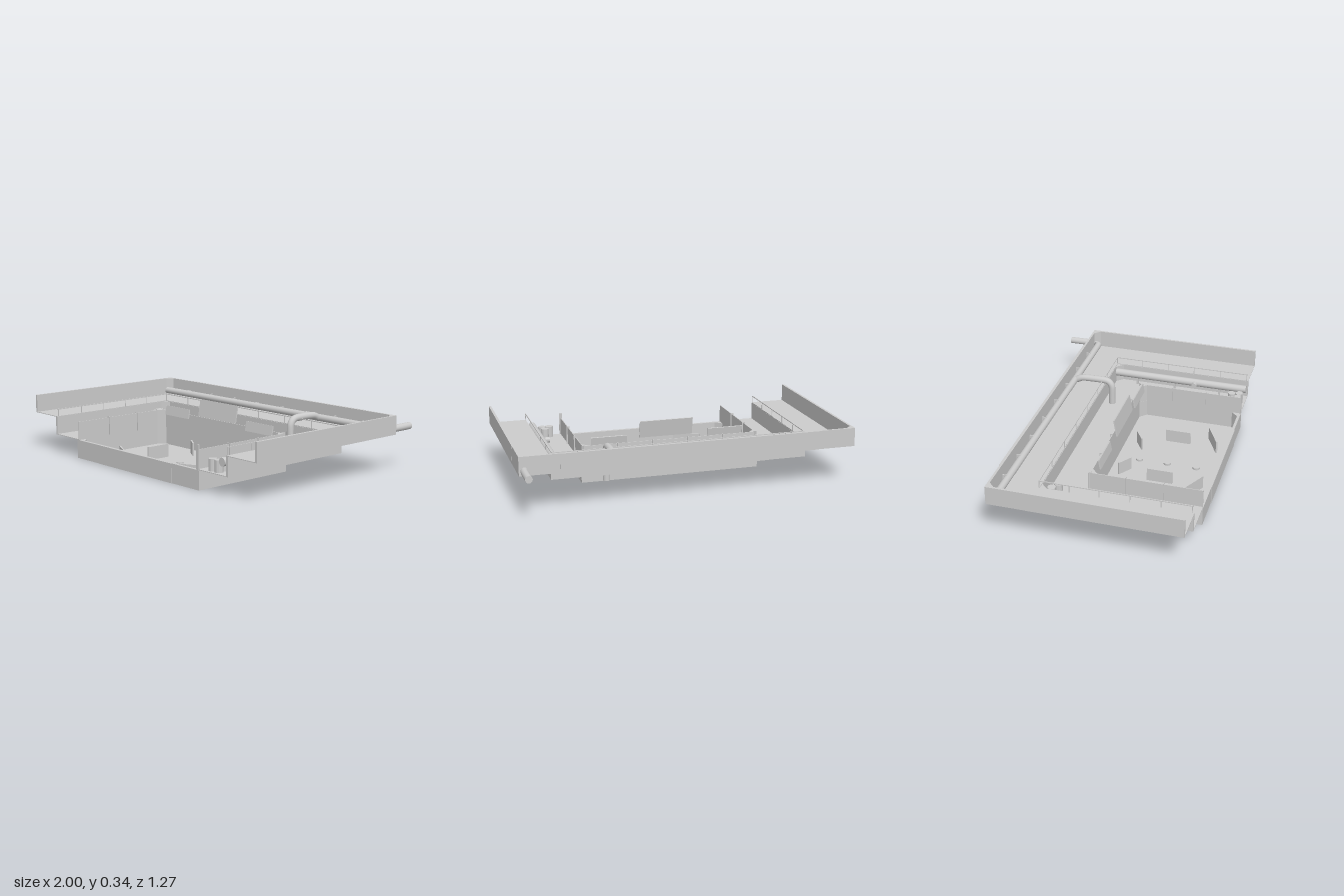
import * as THREE from 'three';

const mat = new THREE.MeshStandardMaterial({ color: 0xcccccc, side: THREE.DoubleSide });
const flat = new THREE.MeshStandardMaterial({ color: 0xcccccc, side: THREE.DoubleSide, flatShading: true });

const BACK = { top: -0.48, middle: -0.26, pit: -0.037 };
const FRONT = 0.63;
const LEVEL = [0, 0.112, 0.223, 0.334];

export function createModel() {
  const model = new THREE.Group();

  const add = (name, geometry, x = 0, y = 0, z = 0, material = flat) => {
    const mesh = new THREE.Mesh(geometry, material);
    mesh.name = name;
    mesh.position.set(x, y, z);
    model.add(mesh);
    return mesh;
  };
  const box = (name, w, h, d, x, y, z) => add(name, new THREE.BoxGeometry(w, h, d), x, y, z);

  // Plan outline drawn in x and z, raised from y0 to y1
  const raise = (name, points, y0, y1, hole) => {
    const toV = (p) => new THREE.Vector2(p[0], -p[1]);
    const shape = new THREE.Shape(points.map(toV));
    if (hole) shape.holes.push(new THREE.Path(hole.map(toV)));
    const geometry = new THREE.ExtrudeGeometry(shape, { depth: y1 - y0, bevelEnabled: false });
    geometry.rotateX(-Math.PI / 2);
    return add(name, geometry, 0, y0, 0);
  };
  const tube = (name, points, r, tension = 0.1) => {
    const curve = new THREE.CatmullRomCurve3(points.map((p) => new THREE.Vector3(...p)), false, 'catmullrom', tension);
    add(name, new THREE.TubeGeometry(curve, 80, r, 14), 0, 0, 0, mat);
    // Closed ends
    for (const t of [0, 1]) {
      const cap = add(name + 'Cap', new THREE.CircleGeometry(r, 14));
      cap.position.copy(curve.getPointAt(t));
      cap.quaternion.setFromUnitVectors(new THREE.Vector3(0, 0, 1), curve.getTangentAt(t).multiplyScalar(t ? 1 : -1));
    }
  };

  // Outline of a U open to the front, chamfered in the inner back corners
  const uShape = (w, back, t, c, front = FRONT) => [
    [-w, front], [-w, back], [w, back], [w, front],
    [w - t, front], [w - t, back + t + c], [w - t - c, back + t],
    [-w + t + c, back + t], [-w + t, back + t + c], [-w + t, front],
  ];
  const rect = (w, back, front) => [[-w, back], [w, back], [w, front], [-w, front]];

  // Two stepped terraces: a floor around the lower tier and a wall on three sides
  const terrace = (name, w, back, innerW, innerBack, level, c) => {
    const y = LEVEL[level];
    raise(name + 'Floor', [
      [-w, FRONT], [-w, back], [w, back], [w, FRONT],
      [innerW, FRONT], [innerW, innerBack], [-innerW, innerBack], [-innerW, FRONT],
    ], y, y + 0.004);
    raise(name + 'Wall', uShape(w, back, 0.013, c), y, LEVEL[level + 1]);
    // Slightly raised outer cladding in line with the tier below
    const h = LEVEL[level + 1] - y;
    box(name + 'BackCladding', innerW * 2, h, 0.004, 0, y + h / 2, back - 0.002);
    for (const s of [-1, 1]) {
      box(name + 'SideCladding', 0.004, h, FRONT - innerBack, s * (w - 0.001), y + h / 2, (FRONT + innerBack) / 2);
    }
  };
  terrace('upperTerrace', 0.997, BACK.top, 0.768, -0.25, 2, 0.035);
  terrace('middleTerrace', 0.78, BACK.middle, 0.545, -0.028, 1, 0.04);

  // Sunken arena with its chamfered wall
  raise('arenaFloor', rect(0.555, BACK.pit, 0.632), 0, 0.004);
  raise('arenaWall', rect(0.555, BACK.pit, 0.632), 0, LEVEL[1], [
    [-0.5, -0.024], [0.5, -0.024], [0.54, 0.016], [0.54, 0.575],
    [0.5, 0.615], [-0.5, 0.615], [-0.54, 0.575], [-0.54, 0.016],
  ]);
  box('arenaFrontCladding', 0.66, LEVEL[1], 0.004, 0, LEVEL[1] / 2, 0.633);

  // Thin barrier standing on the arena edge, with posts at the panel joints
  raise('arenaBarrier', uShape(0.545, -0.028, 0.005, 0.038), LEVEL[1], 0.223);
  for (const x of [-0.33, -0.11, 0.11, 0.33]) box('barrierPost', 0.006, 0.115, 0.014, x, 0.17, -0.031);
  for (const s of [-1, 1]) {
    for (const z of [0.18, 0.4]) box('barrierPost', 0.02, 0.115, 0.006, s * 0.543, 0.17, z);
    const corner = box('cornerPost', 0.006, 0.115, 0.022, s * 0.54, 0.17, -0.028);
    corner.rotation.y = -s * Math.PI / 4;
  }
  box('frontPost', 0.02, 0.14, 0.006, 0.543, 0.183, 0.628);

  // Tilted display boards above the back barrier
  const board = (name, x, w, y0, y1) => {
    const mesh = box(name, w, y1 - y0, 0.008, x, (y0 + y1) / 2, 0.004);
    mesh.rotation.x = -0.18;
  };
  board('centreBoard', 0.02, 0.33, 0.235, 0.341);
  board('rightBoard', -0.355, 0.22, 0.203, 0.262);
  board('leftBoard', 0.375, 0.22, 0.203, 0.262);

  // Cover slabs on the arena floor, each from one plan point to another
  const slabs = [
    [-0.2, 0.215, -0.2, 0.37], [0.265, 0.215, 0.265, 0.37],
    [-0.19, 0.035, -0.11, 0.09], [0.115, 0.1, 0.195, 0.05],
    [-0.345, 0.47, -0.19, 0.55], [0.365, 0.47, 0.205, 0.55],
  ];
  for (const [x0, z0, x1, z1] of slabs) {
    const slab = box('coverSlab', Math.hypot(x1 - x0, z1 - z0), 0.08, 0.01, (x0 + x1) / 2, 0.044, (z0 + z1) / 2);
    slab.rotation.y = -Math.atan2(z1 - z0, x1 - x0);
  }
  // Floor discs
  for (const z of [0.115, 0.29, 0.47]) add('floorDisc', new THREE.CylinderGeometry(0.022, 0.022, 0.012, 20), 0, 0.01, z);

  // Barrels in two corners of the middle terrace
  const barrels = [
    [-0.735, -0.163], [-0.685, -0.21], [-0.64, -0.185], [-0.71, -0.115],
    [0.625, 0.593], [0.673, 0.593], [0.662, 0.545],
  ];
  for (const [x, z] of barrels) add('barrel', new THREE.CylinderGeometry(0.024, 0.024, 0.072, 16), x, 0.148, z);

  // Railing along the inner edge of the upper terrace
  const railY = 0.27;
  box('backRail', 1.54, 0.005, 0.005, 0, railY, -0.252);
  for (let i = 0; i < 8; i++) box('railPost', 0.004, 0.046, 0.004, -0.77 + i * 0.22, 0.247, -0.252);
  for (const s of [-1, 1]) {
    box('sideRail', 0.005, 0.005, 0.875, s * 0.77, railY, 0.187);
    for (let i = 1; i < 6; i++) box('railPost', 0.004, 0.046, 0.004, s * 0.77, 0.247, -0.252 + i * 0.174);
  }

  // Main pipe along the back, leaving through the back wall
  tube('mainPipe', [
    [-0.98, 0.252, -0.438], [0, 0.252, -0.438], [0.9, 0.252, -0.438],
    [0.95, 0.252, -0.449], [0.968, 0.252, -0.485], [0.968, 0.252, -0.635],
  ], 0.021, 0.3);
  for (let i = 0; i < 8; i++) box('pipeBracket', 0.006, 0.045, 0.035, -0.77 + i * 0.22, 0.252, -0.458);

  // Branch pipe dropping through the middle terrace
  tube('branchPipe', [
    [0.44, 0.252, -0.43], [0.44, 0.272, -0.38], [0.44, 0.275, -0.26], [0.44, 0.268, -0.215],
    [0.44, 0.235, -0.192], [0.44, 0.15, -0.19], [0.44, 0.056, -0.19],
  ], 0.021, 0.4);

  // Side pipe on the middle terrace with its valve
  tube('sidePipe', [[0.73, 0.185, -0.245], [0.73, 0.185, 0.2], [0.73, 0.185, 0.625]], 0.024);
  const valve = add('valve', new THREE.CylinderGeometry(0.017, 0.017, 0.035, 12), 0.698, 0.185, 0.29);
  valve.rotation.z = Math.PI / 2;
  for (const z of [-0.1, 0.15, 0.45]) box('pipeSupport', 0.012, 0.06, 0.012, 0.73, 0.142, z);

  return model;
}
